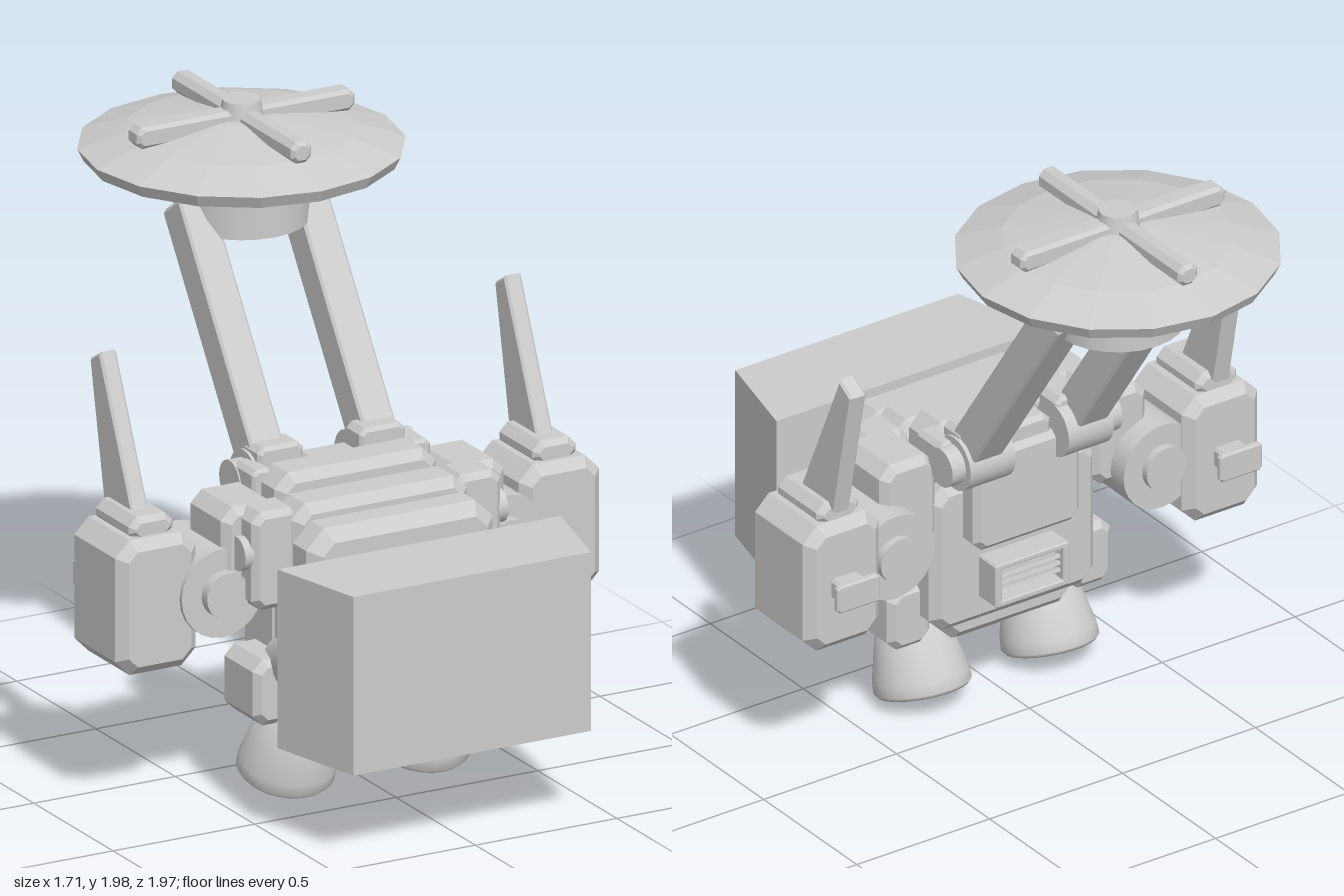
import * as THREE from 'three';

const gray = new THREE.MeshStandardMaterial({ color: 0xcccccc });
gray.name = 'light gray';
const grayOpen = gray; // one colour everywhere

export function createModel() {
  const model = new THREE.Group();
  model.name = 'backpack';

  const add = (name, geometry, parent = model) => {
    const mesh = new THREE.Mesh(geometry, grayOpen);
    mesh.name = name;
    parent.add(mesh);
    return mesh;
  };

  // Box with chamfered edges, given by its limits on each axis
  const block = (name, [x0, x1], [y0, y1], [z0, z1], c = 0.02, parent = model) => {
    const w = (x1 - x0) / 2 - c, h = (y1 - y0) / 2 - c;
    const s = new THREE.Shape([
      [-w + c, -h], [w - c, -h], [w, -h + c], [w, h - c],
      [w - c, h], [-w + c, h], [-w, h - c], [-w, -h + c],
    ].map(p => new THREE.Vector2(...p)));
    const g = new THREE.ExtrudeGeometry(s, {
      depth: z1 - z0 - 2 * c, bevelSize: c, bevelThickness: c, bevelSegments: 1,
    });
    g.translate((x0 + x1) / 2, (y0 + y1) / 2, z0 + c);
    return add(name, g, parent);
  };

  // Cylinder lying along x or z, or standing along y
  const disc = (name, r, length, axis, x, y, z, parent = model) => {
    const g = new THREE.CylinderGeometry(r, r, length, 24);
    if (axis === 'x') g.rotateZ(Math.PI / 2);
    if (axis === 'z') g.rotateX(Math.PI / 2);
    g.translate(x, y, z);
    return add(name, g, parent);
  };

  // Side profile in (z, y) given a thickness along x, centred at x
  const sidePlate = (name, pts, thickness, x, parent) => {
    const s = new THREE.Shape(pts.map(([z, y]) => new THREE.Vector2(-z, y)));
    const b = 0.008;
    const g = new THREE.ExtrudeGeometry(s, {
      depth: thickness - 2 * b, bevelSize: b, bevelThickness: b, bevelOffset: -b, bevelSegments: 1,
    });
    g.translate(0, 0, -thickness / 2 + b);
    g.rotateY(Math.PI / 2);
    g.translate(x, 0, 0);
    return add(name, g, parent);
  };

  // Detached front block, narrower toward the front
  const wedge = new THREE.ExtrudeGeometry(new THREE.Shape([
    [-0.42, -0.98], [0.42, -0.98], [0.5, -0.645], [-0.5, -0.645],
  ].map(p => new THREE.Vector2(...p))), { depth: 0.585, bevelEnabled: false });
  wedge.rotateX(-Math.PI / 2);
  wedge.translate(0, 0.31, 0);
  add('frontBlock', wedge);

  // Torso layers
  block('frontPlate', [-0.33, 0.33], [0.25, 0.95], [0.4, 0.56], 0.04);
  block('chest', [-0.31, 0.31], [0.27, 0.99], [0.26, 0.42], 0.03);
  block('topRidge', [-0.285, 0.285], [0.8, 1.04], [0.11, 0.27], 0.03);
  block('core', [-0.31, 0.31], [0.33, 0.84], [0.07, 0.3], 0.03);
  block('upperBackPanel', [-0.2, 0.2], [0.62, 0.96], [0, 0.15], 0.02);
  block('backPanelTop', [-0.1, 0.1], [0.9, 1.02], [0.02, 0.15], 0.015);
  block('lowerBack', [-0.25, 0.25], [0.27, 0.46], [0.1, 0.3], 0.03);

  // Vent on the back
  for (const s of [-1, 1]) {
    block('ventSide', s < 0 ? [-0.14, -0.115] : [0.115, 0.14], [0.42, 0.57], [-0.02, 0.1], 0.004);
    block('ventRim', [-0.14, 0.14], s < 0 ? [0.42, 0.44] : [0.55, 0.57], [-0.02, 0.1], 0.004);
  }
  for (let i = 0; i < 4; i++) {
    const slat = add('ventSlat', new THREE.BoxGeometry(0.24, 0.012, 0.09));
    slat.position.set(0, 0.457 + i * 0.025, 0.04);
    slat.rotation.x = 0.3;
  }

  // Parts on each side
  for (const s of [1, -1]) {
    const side = new THREE.Group();
    side.name = s > 0 ? 'leftSide' : 'rightSide';
    model.add(side);
    const span = (a, b) => (s > 0 ? [a, b] : [-b, -a]);

    // Shoulder
    block('shoulder', span(0.29, 0.5), [0.66, 0.98], [0.07, 0.31], 0.025, side);
    block('shoulderFront', span(0.27, 0.44), [0.66, 0.98], [0.25, 0.39], 0.02, side);
    disc('shoulderBolt', 0.055, 0.05, 'x', s * 0.44, 0.84, 0.325, side);
    disc('shoulderJoint', 0.145, 0.3, 'z', s * 0.5, 0.71, 0.15, side);
    disc('jointCap', 0.075, 0.36, 'z', s * 0.5, 0.71, 0.155, side);

    // Pod with cap, fin and rear handle
    block('pod', span(0.57, 0.855), [0.48, 0.92], [-0.035, 0.285], 0.032, side);
    block('podCap', span(0.635, 0.79), [0.9, 0.98], [0.0, 0.24], 0.018, side);
    sidePlate('fin', [[0.175, 0.95], [-0.04, 1.435], [-0.105, 1.395], [-0.015, 0.95]], 0.06, s * 0.715, side);
    block('handleBar', span(0.64, 0.8), [0.655, 0.75], [-0.115, -0.09], 0.006, side);
    block('handleMount', span(0.67, 0.77), [0.665, 0.735], [-0.1, 0], 0.006, side);

    // Hip block and flared side thruster
    block('hip', span(0.26, 0.42), [0.27, 0.485], [0.145, 0.365], 0.022, side);
    const flare = add('sideThruster', new THREE.CylinderGeometry(0.12, 0.08, 0.2, 24), side);
    flare.rotation.x = Math.PI / 2 - 0.25;
    flare.position.set(s * 0.265, 0.47, 0.375);

    // Nozzle: tilted hollow bell
    const bell = new THREE.LatheGeometry([
      [0, 0.2], [0.095, 0.2], [0.135, 0.01], [0.145, 0], [0.155, 0.012],
      [0.152, 0.05], [0.105, 0.25], [0, 0.25],
    ].map(p => new THREE.Vector2(...p)), 28);
    const nozzle = add('nozzle', bell, side);
    nozzle.position.set(s * 0.24, 0.06, 0.228);
    nozzle.rotation.x = 0.31;
    const mount = disc('nozzleMount', 0.09, 0.14, 'y', s * 0.24, 0.32, 0.28, side);
    mount.name = 'nozzleMount';

    // Hinge and boom
    disc('hinge', 0.09, 0.17, 'x', s * 0.185, 0.96, 0.02, side);
    disc('hingePin', 0.065, 0.22, 'x', s * 0.21, 0.96, 0.02, side);
    block('hingeBracket', span(0.1, 0.26), [0.93, 1.075], [-0.005, 0.1], 0.012, side);
    block('hingeOuter', span(0.24, 0.315), [0.9, 1.03], [0.03, 0.16], 0.01, side);
    const boom = block('boom', [-0.058, 0.058], [-0.45, 0.45], [-0.064, 0.064], 0.008, side);
    boom.position.set(s * 0.198, 1.328, -0.215);
    boom.rotation.x = -0.6;
  }

  // Dish: sixteen-sided disc with neck and crossed bars
  const dish = new THREE.Group();
  dish.name = 'dish';
  dish.position.z = -0.475;
  model.add(dish);
  disc('neck', 0.21, 0.13, 'y', 0, 1.675, 0, dish);
  disc('collar', 0.24, 0.05, 'y', 0, 1.745, 0, dish);
  const plate = new THREE.LatheGeometry([
    [0, 1.765], [0.25, 1.765], [0.49, 1.815], [0.51, 1.855], [0.36, 1.905], [0.1, 1.945], [0, 1.95],
  ].map(p => new THREE.Vector2(...p)), 16).toNonIndexed();
  plate.computeVertexNormals();
  add('dishPlate', plate, dish);
  block('crossBar', [-0.385, 0.385], [1.905, 1.975], [-0.036, 0.036], 0.012, dish);
  block('crossBar', [-0.036, 0.036], [1.905, 1.975], [-0.385, 0.385], 0.012, dish);
  const hub = add('hub', new THREE.CylinderGeometry(0.06, 0.075, 0.08, 16), dish);
  hub.position.y = 1.96;

  return model;
}
